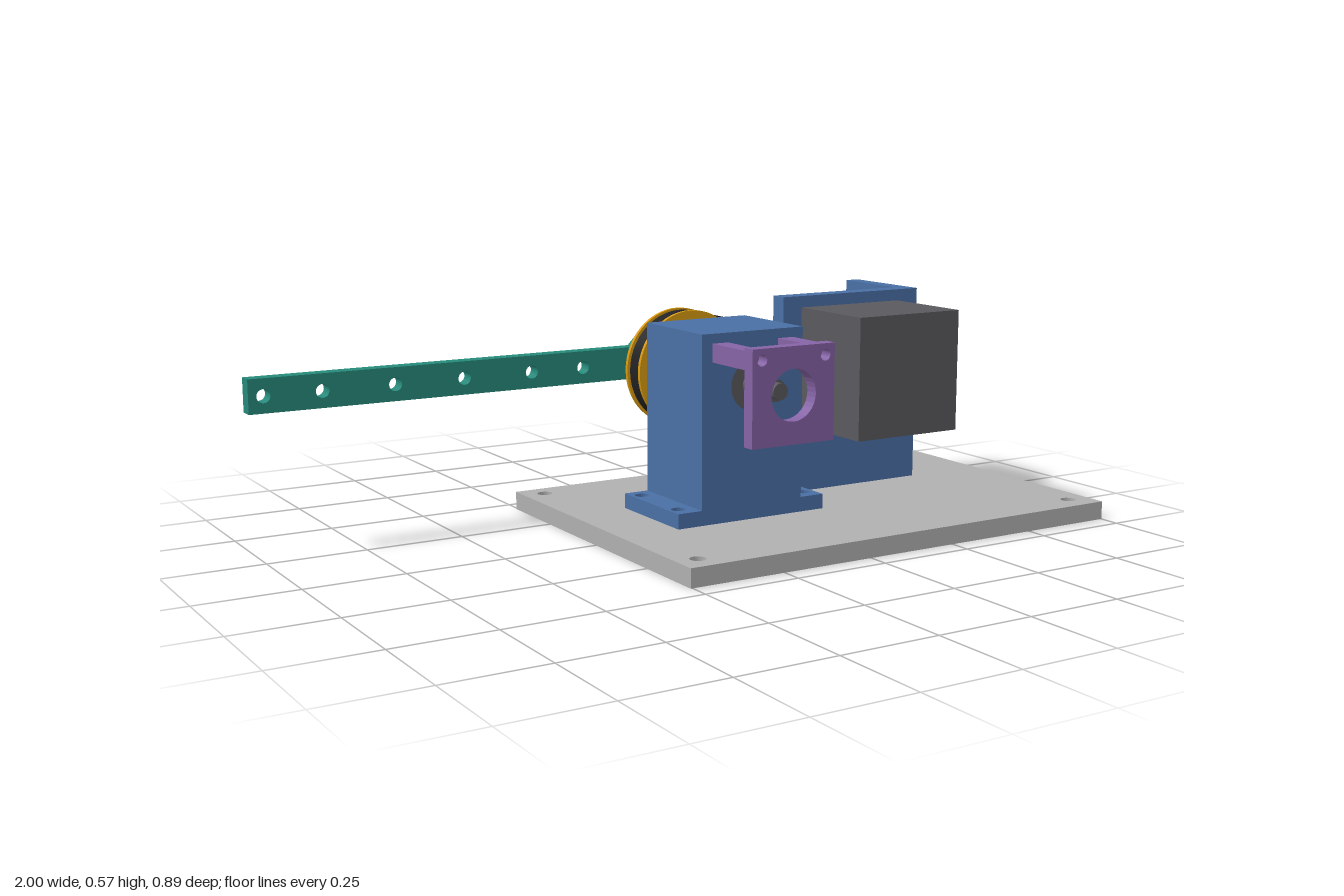
import * as THREE from 'three';

const mat = (name, color) => {
  const m = new THREE.MeshStandardMaterial({ color });
  m.name = name;
  return m;
};

export function createModel() {
  const root = new THREE.Group();
  root.name = 'beltDriveRig';
  const grey = mat('plate grey', 0xb0b0b0);
  const blue = mat('bracket blue', 0x4a6fa5);
  const dark = mat('motor grey', 0x5a595e);
  const teal = mat('arm teal', 0x26897a);
  const gold = mat('pulley gold', 0xd99a10);
  const purple = mat('sensor purple', 0x8563a5);
  const black = mat('belt black', 0x222224);

  const AX = 0.118, AY = 0.385; // driven shaft axis
  const MX = 0.553, MY = 0.383; // motor axis

  const add = (name, geo, material, parent = root) => {
    const m = new THREE.Mesh(geo, material);
    m.name = name;
    parent.add(m);
    return m;
  };
  const box = (name, x0, x1, y0, y1, z0, z1, material) => {
    const g = new THREE.BoxGeometry(x1 - x0, y1 - y0, z1 - z0);
    g.translate((x0 + x1) / 2, (y0 + y1) / 2, (z0 + z1) / 2);
    return add(name, g, material);
  };
  // Cylinder along z
  const cyl = (name, x, y, r, z0, z1, material, sides = 40) => {
    const g = new THREE.CylinderGeometry(r, r, z1 - z0, sides);
    g.rotateX(Math.PI / 2);
    g.translate(x, y, (z0 + z1) / 2);
    return add(name, g, material);
  };
  const rect = (x0, x1, y0, y1) => new THREE.Shape([
    new THREE.Vector2(x0, y0), new THREE.Vector2(x1, y0),
    new THREE.Vector2(x1, y1), new THREE.Vector2(x0, y1)]);
  const hole = (x, y, r) => new THREE.Path().absarc(x, y, r, 0, Math.PI * 2, true);
  const slot = (x0, x1, y, r) => {
    const p = new THREE.Path();
    p.absarc(x1 - r, y, r, -Math.PI / 2, Math.PI / 2, false);
    p.absarc(x0 + r, y, r, Math.PI / 2, Math.PI * 1.5, false);
    p.closePath();
    return p;
  };
  const extrude = (shape, depth) =>
    new THREE.ExtrudeGeometry(shape, { depth, bevelEnabled: false, curveSegments: 16 });
  // Upright plate: outline in x/y, from z0 to z1
  const upright = (name, shape, holes, z0, z1, material) => {
    shape.holes.push(...holes);
    return add(name, extrude(shape, z1 - z0).translate(0, 0, z0), material);
  };
  // Flat plate: outline in x and -z, from y0 to y1
  const flat = (name, shape, holes, y0, y1, material) => {
    shape.holes.push(...holes);
    return add(name, extrude(shape, y1 - y0).rotateX(-Math.PI / 2).translate(0, y0, 0), material);
  };
  const grid = (xs, ys, r) => xs.flatMap(x => ys.map(y => hole(x, y, r)));

  // Base plate with corner holes, block holes and bracket slots
  const slots = () => [slot(0.475, 0.63, 0.23, 0.017), slot(0.475, 0.63, 0.14, 0.017)];
  const blockHoles = () => grid([-0.07, 0.303], [-0.085, 0.095], 0.018);
  flat('basePlate', rect(-0.255, 1, -0.446, 0.446),
    [...grid([-0.198, 0.94], [-0.384, 0.39], 0.02), ...blockHoles(), ...slots()], 0, 0.047, grey);

  // Bearing block
  flat('blockFlange', rect(-0.097, 0.333, -0.13, 0.135), blockHoles(), 0.047, 0.085, blue);
  upright('bearingBlock', rect(-0.03, 0.265, 0.085, 0.52), [hole(AX, AY, 0.064)], -0.135, 0.13, blue);
  cyl('bearing', AX, AY, 0.064, -0.132, 0.126, dark);

  // Motor bracket: floor, drilled face, tall outer wall, low inner wall
  flat('bracketFloor', rect(0.376, 0.737, 0.107, 0.327), slots(), 0.047, 0.085, blue);
  upright('bracketFace', rect(0.337, 0.777, 0.047, 0.57),
    [hole(MX, MY, 0.085), ...grid([MX - 0.11, MX + 0.11], [MY - 0.11, MY + 0.11], 0.013)],
    -0.107, -0.06, blue);
  box('bracketOuterWall', 0.737, 0.777, 0.047, 0.57, -0.327, -0.107, blue);
  box('bracketInnerWall', 0.337, 0.376, 0.047, 0.2, -0.327, -0.107, blue);

  // Motor
  box('motor', 0.395, 0.711, 0.225, 0.54, -0.06, 0.195, dark);
  cyl('motorShaft', MX, MY, 0.022, -0.25, -0.06, dark);
  cyl('motorPulley', MX, MY, 0.041, -0.222, -0.168, dark);

  // Driven shaft
  cyl('drivenShaft', AX, AY, 0.028, -0.404, 0.23, dark);
  cyl('shaftTip', AX, AY, 0.021, 0.23, 0.25, dark);

  // Toothed pulley with flanges and a hub
  const teeth = 60, toothed = new THREE.Shape();
  for (let i = 0; i < teeth * 2; i++) {
    const a = (i / teeth) * Math.PI, r = i % 2 ? 0.137 : 0.13;
    toothed[i ? 'lineTo' : 'moveTo'](AX + r * Math.cos(a), AY + r * Math.sin(a));
  }
  upright('pulleyTeeth', toothed, [], -0.226, -0.172, gold);
  cyl('pulleyBackFlange', AX, AY, 0.154, -0.236, -0.226, gold, 64);
  cyl('pulleyFrontFlange', AX, AY, 0.154, -0.172, -0.162, gold, 64);
  cyl('pulleyHub', AX, AY, 0.063, -0.305, -0.236, gold);

  // Belt: open-belt outline round both pulleys
  const beltOutline = (curve, R, r) => {
    const t = Math.acos((R - r) / (MX - AX));
    curve.absarc(AX, AY, R, t, Math.PI * 2 - t, false);
    curve.absarc(MX, MY, r, -t, t, false);
    curve.closePath();
    return curve;
  };
  const belt = beltOutline(new THREE.Shape(), 0.15, 0.054);
  belt.holes.push(beltOutline(new THREE.Path(), 0.137, 0.041));
  add('belt', new THREE.ExtrudeGeometry(belt, { depth: 0.042, bevelEnabled: false, curveSegments: 48 })
    .translate(0, 0, -0.219), black);

  // Arm with its clamp hub
  upright('arm', rect(-1, 0.07, 0.343, 0.428),
    [-0.963, -0.817, -0.63, -0.445, -0.257, -0.108].map(x => hole(x, AY, 0.017)), -0.375, -0.335, teal);
  cyl('armHub', AX, AY, 0.073, -0.389, -0.325, teal);

  // Set screws on top of both hubs
  for (const [name, r, z] of [['pulleySetScrew', 0.064, -0.27], ['armSetScrew', 0.074, -0.357]]) {
    add(name, new THREE.CylinderGeometry(0.014, 0.014, 0.008, 20).translate(AX, AY + r - 0.003, z), dark);
  }

  // Sensor holder: drilled plate on two arms
  upright('sensorPlate', rect(0, 0.236, 0.265, 0.503),
    [hole(AX, AY, 0.064), ...grid([0.027, 0.209], [0.475], 0.014)], 0.27, 0.305, purple);
  for (const x of [0, 0.191]) box('sensorArm', x, x + 0.045, 0.45, 0.496, 0.13, 0.27, purple);

  return root;
}
